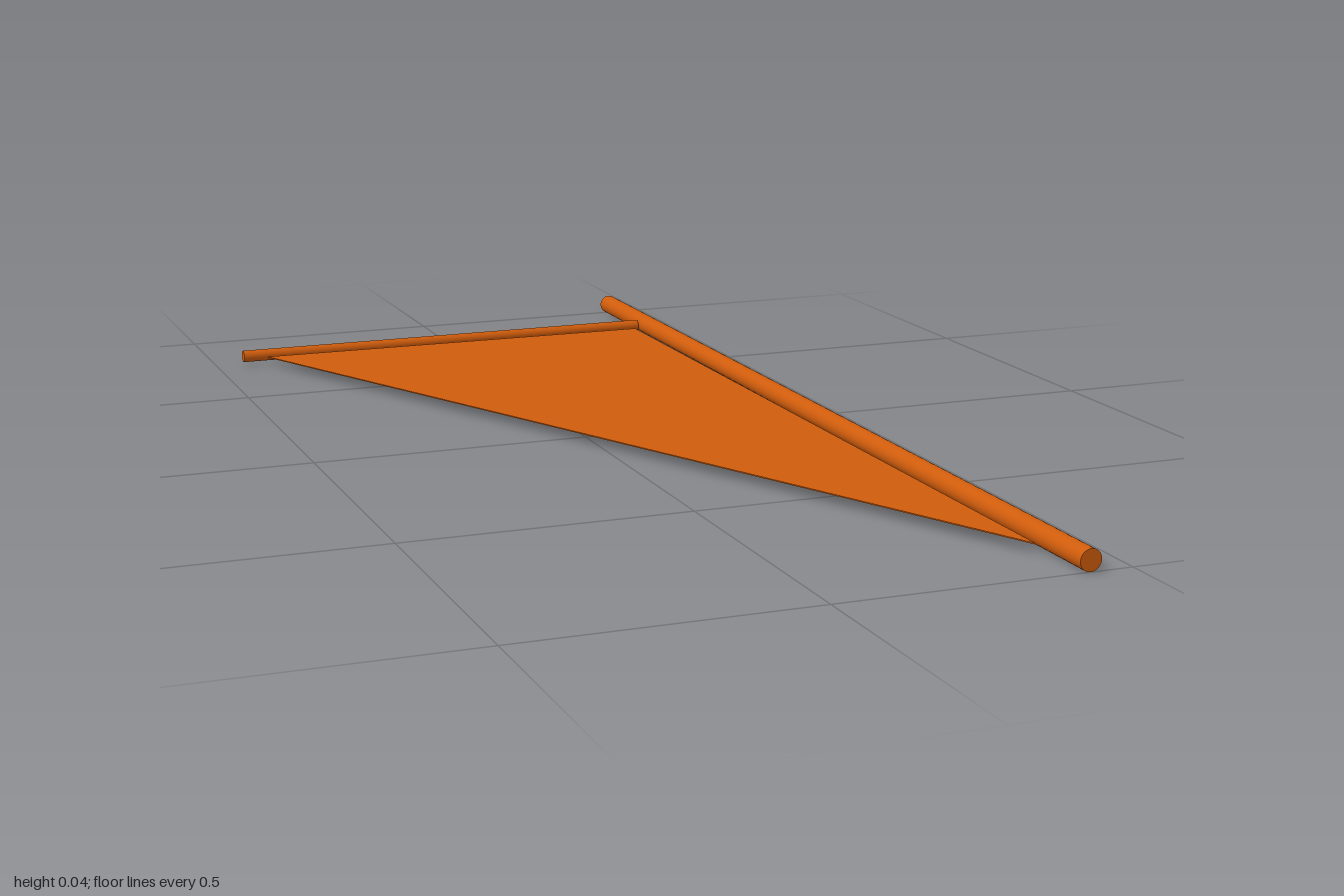
import * as THREE from 'three';

const canvasOrange = new THREE.MeshStandardMaterial({ color: 0xcf5c0c });
canvasOrange.name = 'canvasOrange';

// Smooth round pole lying flat
function pole(name, radius, length) {
  const mesh = new THREE.Mesh(new THREE.CylinderGeometry(radius, radius, length, 32), canvasOrange);
  mesh.name = name;
  return mesh;
}

export function createModel() {
  const group = new THREE.Group();
  group.name = 'sailRig';

  // Mast along z
  const mast = pole('mast', 0.0185, 2);
  mast.rotation.x = Math.PI / 2;
  mast.position.set(0.427, 0.0185, 0);

  // Boom along x, stopping just short of the mast
  const boom = pole('boom', 0.0115, 0.852);
  boom.rotation.z = Math.PI / 2;
  boom.position.set(-0.021, 0.0175, -0.775);

  // Triangular sail, a thin flat sheet
  const outline = new THREE.Shape([
    new THREE.Vector2(-0.403, -0.747),
    new THREE.Vector2(0.387, -0.738),
    new THREE.Vector2(0.392, 0.9),
  ]);
  const sheet = new THREE.ExtrudeGeometry(outline, { depth: 0.002, bevelEnabled: false });
  sheet.rotateX(Math.PI / 2);
  const sail = new THREE.Mesh(sheet, canvasOrange);
  sail.name = 'sail';
  sail.position.y = 0.0195;

  group.add(mast, boom, sail);
  return group;
}
